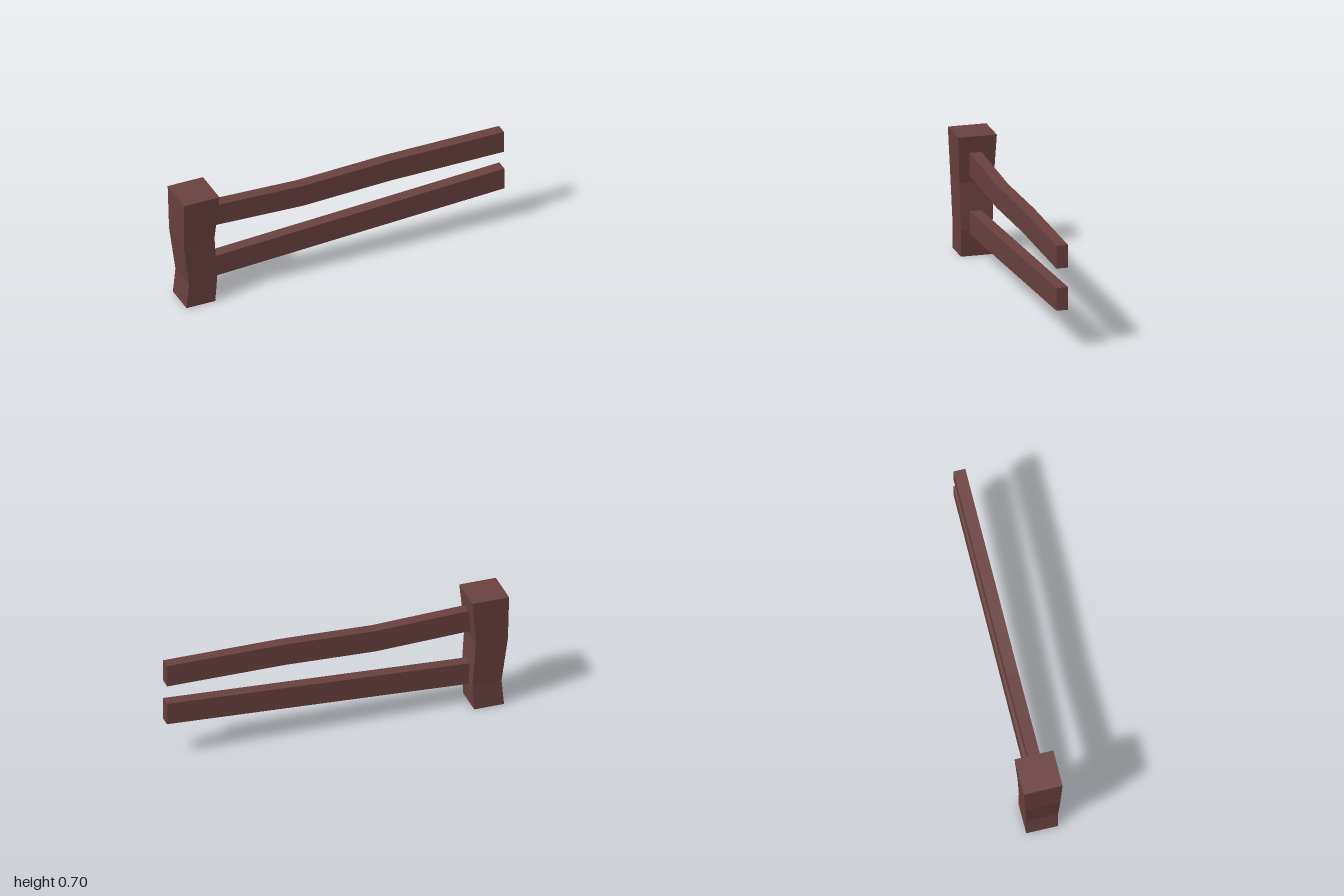
import * as THREE from 'three';

const wood = new THREE.MeshStandardMaterial({ color: 0x6a4040, flatShading: true });
wood.name = 'reddish brown wood';

// Post: stacked rectangular sections [y, xMin, xMax, zMin, zMax]
function makePost() {
  const sections = [
    [0, -0.977, -0.8, -0.092, 0.092],
    [0.155, -0.963, -0.79, -0.089, 0.095],
    [0.43, -0.997, -0.808, -0.1, 0.099],
    [0.705, -1, -0.783, -0.112, 0.112],
  ];
  const geo = new THREE.BoxGeometry(1, 1, 1, 1, sections.length - 1, 1);
  const pos = geo.attributes.position;
  for (let i = 0; i < pos.count; i++) {
    const level = Math.round((pos.getY(i) + 0.5) * (sections.length - 1));
    const [y, x0, x1, z0, z1] = sections[level];
    pos.setXYZ(i, pos.getX(i) < 0 ? x0 : x1, y, pos.getZ(i) < 0 ? z0 : z1);
  }
  geo.computeVertexNormals();
  const mesh = new THREE.Mesh(geo, wood);
  mesh.name = 'post';
  return mesh;
}

// Rail: a plank of constant height along the underside points [x, y]
function makeRail(name, underside) {
  const height = 0.133;
  const points = [
    ...underside.map(([x, y]) => new THREE.Vector2(x, y)),
    ...underside.map(([x, y]) => new THREE.Vector2(x, y + height)).reverse(),
  ];
  const geo = new THREE.ExtrudeGeometry(new THREE.Shape(points), { depth: 0.068, bevelEnabled: false });
  geo.translate(0, 0, -0.025);
  const mesh = new THREE.Mesh(geo, wood);
  mesh.name = name;
  return mesh;
}

export function createModel() {
  const fence = new THREE.Group();
  fence.name = 'fence';
  fence.add(
    makePost(),
    makeRail('upperRail', [[-0.82, 0.476], [-0.24, 0.455], [0.3, 0.475], [0.998, 0.475]]),
    makeRail('lowerRail', [[-0.82, 0.13], [1, 0.228]]),
  );
  return fence;
}
